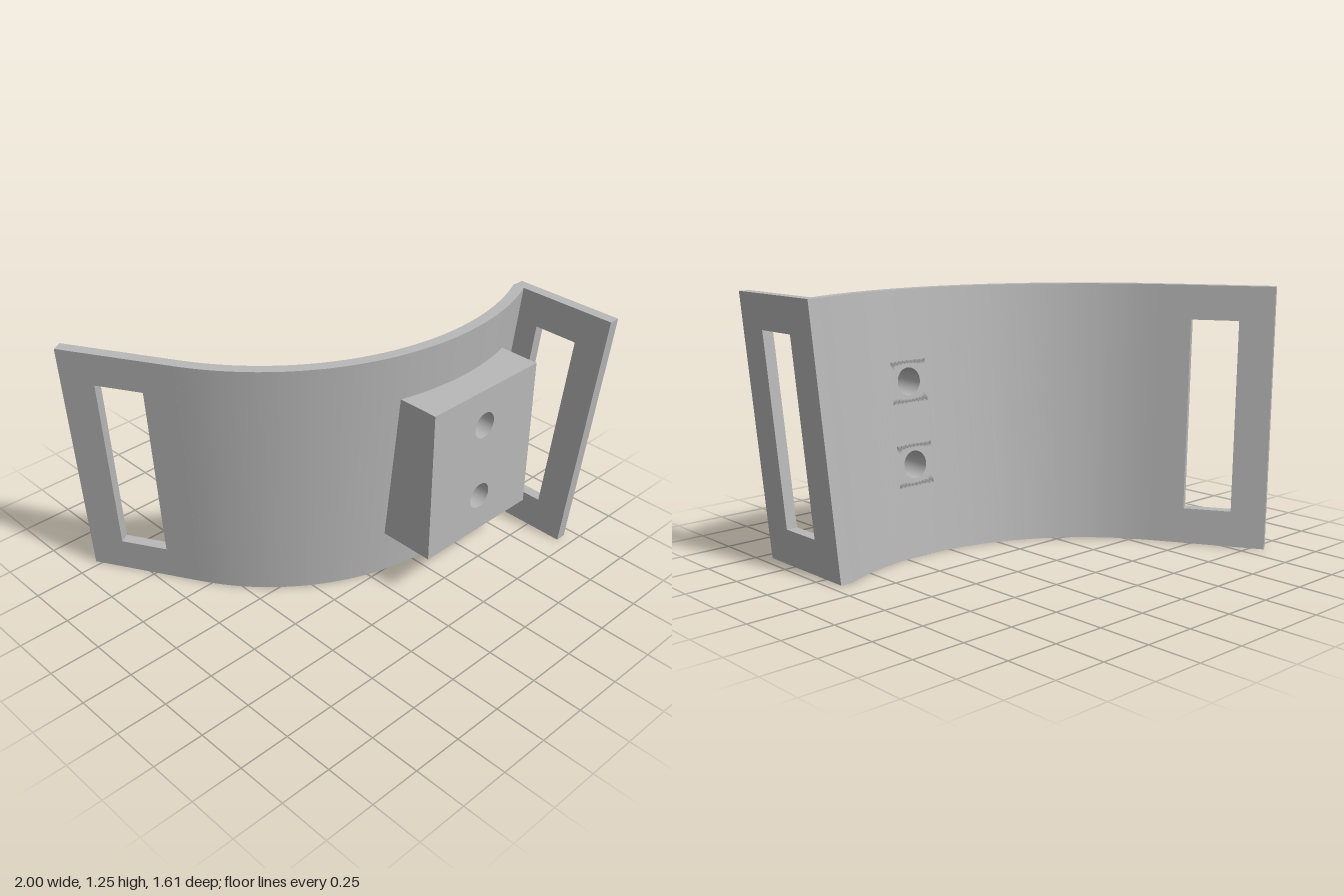
import * as THREE from 'three';
import { mergeGeometries, mergeVertices } from 'three/addons/utils/BufferGeometryUtils.js';

const H = 1.25, T = 0.055;               // height and wall thickness
const CX = 0.41, CZ = -0.892, R0 = 1.307; // cone axis and outer radius at the top
const HOLES = [0.435, 0.825], HR = 0.065, CELL = 0.1;
const lerp = THREE.MathUtils.lerp;
const drop = y => 1 - y / H;             // 0 at the top, 1 at the base

// Indexed grid of points f(u, v) with u, v in 0..1
function grid(f, nu, nv) {
  const pos = [], idx = [];
  for (let j = 0; j <= nv; j++) for (let i = 0; i <= nu; i++) pos.push(...f(i / nu, j / nv));
  for (let j = 0; j < nv; j++) for (let i = 0; i < nu; i++) {
    const a = j * (nu + 1) + i, b = a + 1, c = a + nu + 1, d = c + 1;
    idx.push(a, b, d, a, d, c);
  }
  const g = new THREE.BufferGeometry();
  g.setAttribute('position', new THREE.Float32BufferAttribute(pos, 3));
  g.setIndex(idx);
  return g;
}

function smooth(parts) {
  const g = mergeVertices(mergeGeometries(parts), 1e-4);
  g.computeVertexNormals();
  return g;
}

// Point on the curved wall: k 0..1 left span, 1..2 hole column, 2..3 right span
function wallPoint(k, y, d) {
  const R = R0 - 0.12 * drop(y) - d;
  const left = Math.asin(-CELL / R), right = -left;
  const end = Math.asin((0.945 - 0.053 * drop(y) - CX) / R);
  let a;
  if (k < 1) a = lerp(-Math.PI / 3, left, k);
  else if (k <= 2) a = Math.asin(CELL * (2 * k - 3) / R);
  else a = lerp(right, end, k - 2);
  return [CX + R * Math.sin(a), y, CZ + R * Math.cos(a)];
}

// Outline of the unit square, starting at the upper right corner
function square(t) {
  const s = Math.floor(t * 4) % 4, w = 1 - 2 * (t * 4 - Math.floor(t * 4));
  return [[w, 1], [-1, w], [-w, -1], [1, -w]][s];
}
const circle = t => {
  const a = Math.PI / 4 + t * Math.PI * 2;
  return [HR * Math.cos(a), HR * Math.sin(a)];
};

// One face of the curved wall at depth d, pierced by the round holes
function wallFace(d) {
  const span = (k0, k1, y0, y1, n) =>
    grid((u, v) => wallPoint(lerp(k0, k1, u), lerp(y0, y1, v), d), n, 1);
  const parts = [span(0, 1, 0, H, 32), span(2, 3, 0, H, 16)];
  const [a, b] = HOLES;
  for (const [y0, y1] of [[0, a - CELL], [a + CELL, b - CELL], [b + CELL, H]])
    parts.push(span(1, 2, y0, y1, 8));
  for (const hy of HOLES) parts.push(grid((u, v) => {
    const [cx, cy] = circle(u), [sx, sy] = square(u);
    const x = lerp(cx, sx * CELL, v), y = lerp(cy, sy * CELL, v);
    return wallPoint(1.5 + x / (2 * CELL), hy + y, d);
  }, 32, 2));
  return smooth(parts);
}

// Flat slotted plate in (s, y), moved into place by a rule
function slottedPlate(s0, s1, slot0, slot1, rule) {
  const rect = (P, a, b, c, d) => new P().moveTo(a, c).lineTo(b, c).lineTo(b, d).lineTo(a, d).closePath();
  const shape = rect(THREE.Shape, s0, s1, 0, H);
  shape.holes.push(rect(THREE.Path, slot0, slot1, 0.17, 1.085));
  const g = new THREE.ExtrudeGeometry(shape, { depth: T, bevelEnabled: false });
  const p = g.attributes.position;
  for (let i = 0; i < p.count; i++) p.setXYZ(i, ...rule(p.getX(i), p.getY(i), p.getZ(i)));
  g.computeVertexNormals();
  return g;
}

export function createModel() {
  const group = new THREE.Group();
  const grey = new THREE.MeshStandardMaterial({ color: 0xb8b8b8, side: THREE.DoubleSide });
  grey.name = 'plain grey';
  const add = (name, geometry) => {
    const m = new THREE.Mesh(geometry, grey);
    m.name = name;
    group.add(m);
  };

  // Curved wall
  add('wallOuterFace', wallFace(0));
  add('wallInnerFace', wallFace(T));
  for (const [name, y] of [['wallTopRim', H], ['wallBottomRim', 0]])
    add(name, smooth([[0, 32], [1, 8], [2, 16]].map(([k, n]) =>
      grid((u, v) => wallPoint(k + u, y, v * T), n, 1))));

  // Straight wing on the right, tangent to the curve
  const c = Math.sqrt(3) / 2;
  add('slottedWing', slottedPlate(0, 0.556, 0.165, 0.395, (s, y, e) => {
    const q = 0.12 * drop(y) + T - e;
    return [-1 + 0.5 * s + c * q, y, -0.72 + c * s - 0.5 * q];
  }));

  // Forward flange on the left, leaning with the cone
  add('slottedFlange', slottedPlate(0.245, 0.8, 0.415, 0.64, (s, y, e) =>
    [1 - e - 0.053 * drop(y), y, s - 0.11 * drop(y)]));

  // Mounting pad: flat front, sides running back to the curved wall
  const X0 = 0.065, X1 = 0.76, Y0 = 0.24, Y1 = 1.015, ZF = 0.55;
  const front = new THREE.Shape().moveTo(X0, Y0).lineTo(X1, Y0).lineTo(X1, Y1).lineTo(X0, Y1).closePath();
  for (const hy of HOLES)
    front.holes.push(new THREE.Path(Array.from({ length: 32 }, (_, i) => {
      const [x, y] = circle(-i / 32);
      return new THREE.Vector2(CX + x, hy + y);
    })));
  add('padFront', new THREE.ShapeGeometry(front).translate(0, 0, ZF));
  const wallZ = (x, y, d) => CZ + Math.sqrt((R0 - 0.12 * drop(y) - d) ** 2 - (x - CX) ** 2);
  const corners = [[X0, Y0], [X1, Y0], [X1, Y1], [X0, Y1]];
  corners.forEach((p, i) => {
    const q = corners[(i + 1) % 4];
    add('padSide', smooth([grid((u, v) => {
      const x = lerp(p[0], q[0], u), y = lerp(p[1], q[1], u);
      return [x, y, lerp(wallZ(x, y, 0.005), ZF, v)];
    }, 16, 1)]));
  });

  // Bolt holes through pad and wall
  for (const hy of HOLES)
    add('boltHole', smooth([grid((u, v) => {
      const [x, y] = circle(-u);
      return [CX + x, hy + y, lerp(wallZ(CX + x, hy + y, T), ZF, v)];
    }, 32, 1)]));

  return group;
}
